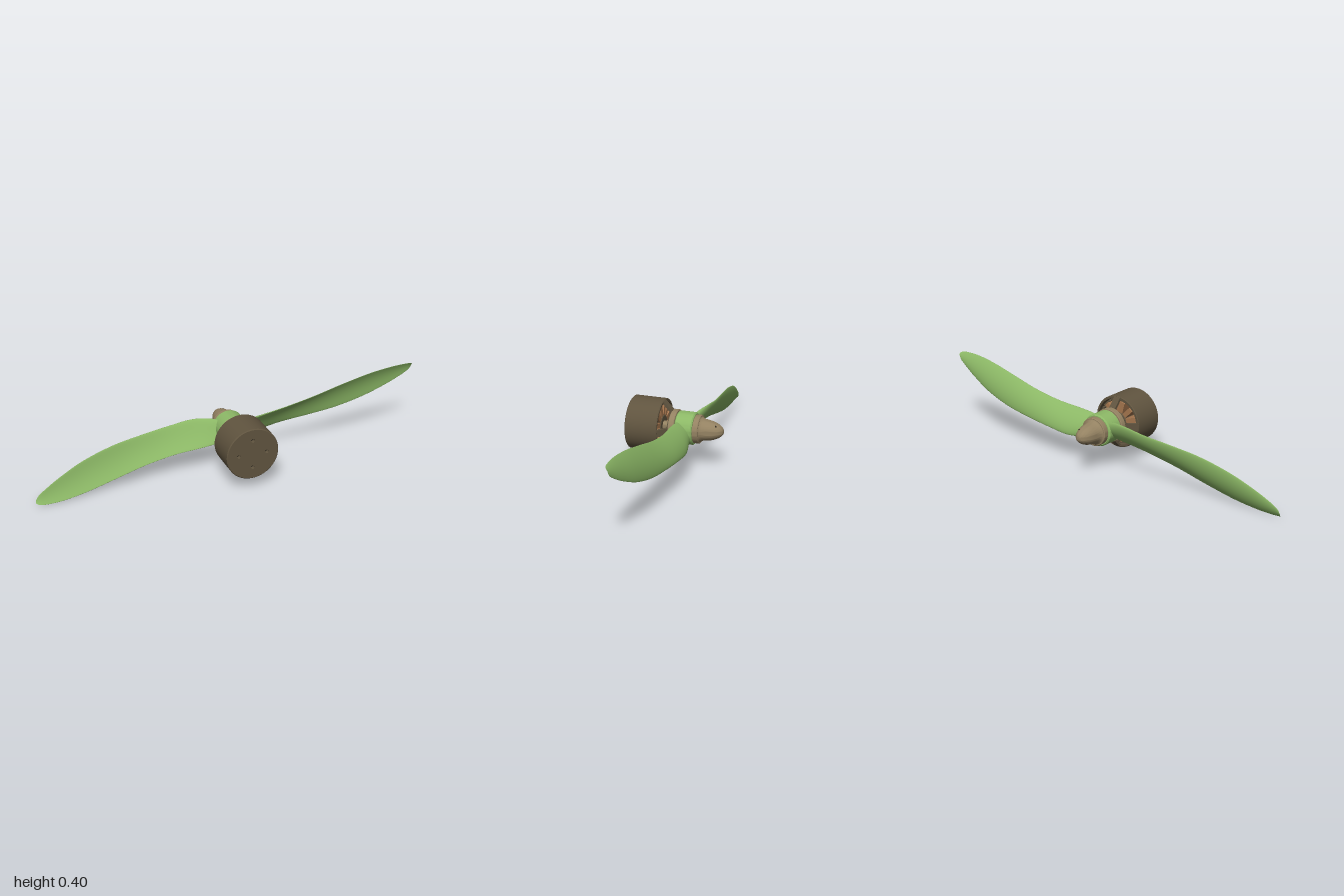
import * as THREE from 'three';
import { toCreasedNormals } from 'three/addons/utils/BufferGeometryUtils.js';

const AXIS_Y = 0.2;
const mat = (color, side = THREE.FrontSide) => new THREE.MeshStandardMaterial({ color, side });
const green = mat(0x8cb866);
const tan = mat(0x948262);
const dark = mat(0x60543f);
const black = mat(0x2e281e);
const copper = mat(0xa87850);

function add(parent, name, geometry, material) {
  const mesh = new THREE.Mesh(geometry, material);
  mesh.name = name;
  parent.add(mesh);
  return mesh;
}

// Solid of revolution about z from [radius, z] pairs, z increasing on outer walls
function turned(points, segments = 64) {
  const lathe = new THREE.LatheGeometry(points.map(([r, z]) => new THREE.Vector2(r, z)), segments);
  return toCreasedNormals(lathe.rotateX(Math.PI / 2), 0.5);
}

const disc = (r, z0, z1, bevel = 0.003) => turned([
  [0, z0], [r - bevel, z0], [r, z0 + bevel], [r, z1 - bevel], [r - bevel, z1], [0, z1]]);

// Twisted blade lofted through airfoil loops
function bladeGeometry() {
  // x, leading edge y z, trailing edge y z, thickness
  const stations = [
    [0.00, -0.03, -0.060, 0.030, -0.020, 0.035],
    [0.08, -0.055, -0.075, 0.050, -0.012, 0.036],
    [0.18, -0.062, -0.098, 0.062, -0.015, 0.025],
    [0.30, -0.048, -0.102, 0.075, -0.025, 0.018],
    [0.45, -0.032, -0.092, 0.103, -0.028, 0.014],
    [0.60, -0.010, -0.080, 0.142, -0.025, 0.012],
    [0.75, 0.032, -0.065, 0.178, -0.018, 0.010],
    [0.87, 0.085, -0.048, 0.196, -0.012, 0.008],
    [0.95, 0.130, -0.036, 0.199, -0.012, 0.006],
    [0.985, 0.155, -0.032, 0.196, -0.015, 0.004],
    [1.00, 0.178, -0.030, 0.190, -0.024, 0],
  ];
  const curve = (pick) => new THREE.CatmullRomCurve3(
    stations.map((s) => new THREE.Vector3(...pick(s))), false, 'catmullrom');
  const lead = curve((s) => [s[0], s[1], s[2]]);
  const trail = curve((s) => [s[0], s[3], s[4]]);
  const thick = curve((s) => [s[0], s[5], 0]);
  const rows = 80, ring = 32, positions = [], index = [];
  for (let i = 0; i <= rows; i++) {
    const t = i / rows;
    const a = lead.getPoint(t), b = trail.getPoint(t);
    const th = Math.max(0, thick.getPoint(t).y);
    const d = b.clone().sub(a);
    const n = new THREE.Vector3(0, d.z, -d.y).normalize();
    for (let j = 0; j < ring; j++) {
      const angle = (j / ring) * Math.PI * 2;
      const c = (1 - Math.cos(angle)) / 2;
      const half = 0.5 * th * Math.sin(angle) * (1.25 - 0.6 * c);
      const camber = 0.32 * d.length() * c * (1 - c);
      const p = a.clone().addScaledVector(d, c).addScaledVector(n, camber + half);
      positions.push(p.x, p.y, p.z);
    }
  }
  for (let i = 0; i < rows; i++) {
    for (let j = 0; j < ring; j++) {
      const k = (j + 1) % ring;
      const a = i * ring + j, b = i * ring + k;
      index.push(a, b, a + ring, b, b + ring, a + ring);
    }
  }
  const g = new THREE.BufferGeometry();
  g.setAttribute('position', new THREE.Float32BufferAttribute(positions, 3));
  g.setIndex(index);
  g.computeVertexNormals();
  return g;
}

// Sloping strut from the bell rim to the flange, as a radial profile with width
function strutGeometry() {
  const s = new THREE.Shape();
  [[0.060, 0.028], [0.084, 0.028], [0.130, 0.071], [0.130, 0.078], [0.119, 0.078], [0.078, 0.040], [0.060, 0.040]]
    .forEach(([r, z], i) => (i ? s.lineTo(r, z) : s.moveTo(r, z)));
  const g = new THREE.ExtrudeGeometry(s, { depth: 0.036, bevelEnabled: false });
  g.translate(0, 0, -0.018);
  return g.rotateX(Math.PI / 2);
}

export function createModel() {
  const model = new THREE.Group();
  model.name = 'propellerAndMotor';
  const body = new THREE.Group();
  body.name = 'assembly';
  body.position.y = AXIS_Y;
  model.add(body);

  // Propeller
  const propeller = new THREE.Group();
  propeller.name = 'propeller';
  body.add(propeller);
  const blade = bladeGeometry();
  for (let i = 0; i < 2; i++) add(propeller, 'blade', blade, green).rotation.z = i * Math.PI;
  add(propeller, 'hub', disc(0.081, -0.09, 0, 0.006), green);

  // Spinner with its washer and cross hole
  add(body, 'washer', disc(0.071, -0.118, -0.088), tan);
  add(body, 'spinner', turned([
    [0, -0.233], [0.009, -0.231], [0.018, -0.226], [0.027, -0.217], [0.035, -0.205], [0.042, -0.19],
    [0.047, -0.175], [0.051, -0.155], [0.055, -0.13], [0.058, -0.123], [0.064, -0.118], [0, -0.117]]), tan);
  const hole = add(body, 'spinnerHole', new THREE.CylinderGeometry(0.005, 0.005, 0.08, 16), black);
  hole.position.z = -0.197;
  hole.rotation.z = -0.6;

  // Motor: bell, front plate with screw holes, flange and struts
  const motor = new THREE.Group();
  motor.name = 'motor';
  body.add(motor);
  add(motor, 'flange', disc(0.085, 0, 0.03), tan);
  add(motor, 'bell', turned([
    [0.12, 0.235], [0.12, 0.07], [0.13, 0.07], [0.133, 0.074], [0.133, 0.231], [0.129, 0.235], [0.12, 0.235]]), dark);
  const plate = new THREE.Shape().absarc(0, 0, 0.1215, 0, Math.PI * 2);
  for (let i = 0; i < 4; i++) {
    const a = (i * Math.PI) / 2;
    plate.holes.push(new THREE.Path().absarc(0.072 * Math.cos(a), 0.072 * Math.sin(a), 0.01, 0, Math.PI * 2, true));
  }
  add(motor, 'frontPlate', new THREE.ExtrudeGeometry(plate, { depth: 0.02, bevelEnabled: false, curveSegments: 32 }), dark)
    .position.z = 0.2149;
  add(motor, 'backing', disc(0.119, 0.195, 0.21), black);
  const strut = strutGeometry();
  for (let i = 0; i < 4; i++) add(motor, 'strut', strut, dark).rotation.z = (i * Math.PI) / 2;

  // Shaft and bearing collar
  add(motor, 'collar', disc(0.04, 0.029, 0.048), dark);
  add(motor, 'shaft', disc(0.022, 0.03, 0.2), tan);

  // Stator core with a ring of wound teeth
  const stator = new THREE.Group();
  stator.name = 'stator';
  motor.add(stator);
  add(stator, 'core', disc(0.05, 0.075, 0.2), dark);
  const coil = new THREE.BoxGeometry(0.056, 0.024, 0.11).translate(0.078, 0, 0.133);
  const tooth = new THREE.BoxGeometry(0.009, 0.046, 0.1).translate(0.11, 0, 0.135);
  for (let i = 0; i < 12; i++) {
    const angle = ((i + 0.5) * Math.PI) / 6;
    add(stator, 'coil', coil, copper).rotation.z = angle;
    add(stator, 'tooth', tooth, dark).rotation.z = angle;
  }
  return model;
}
